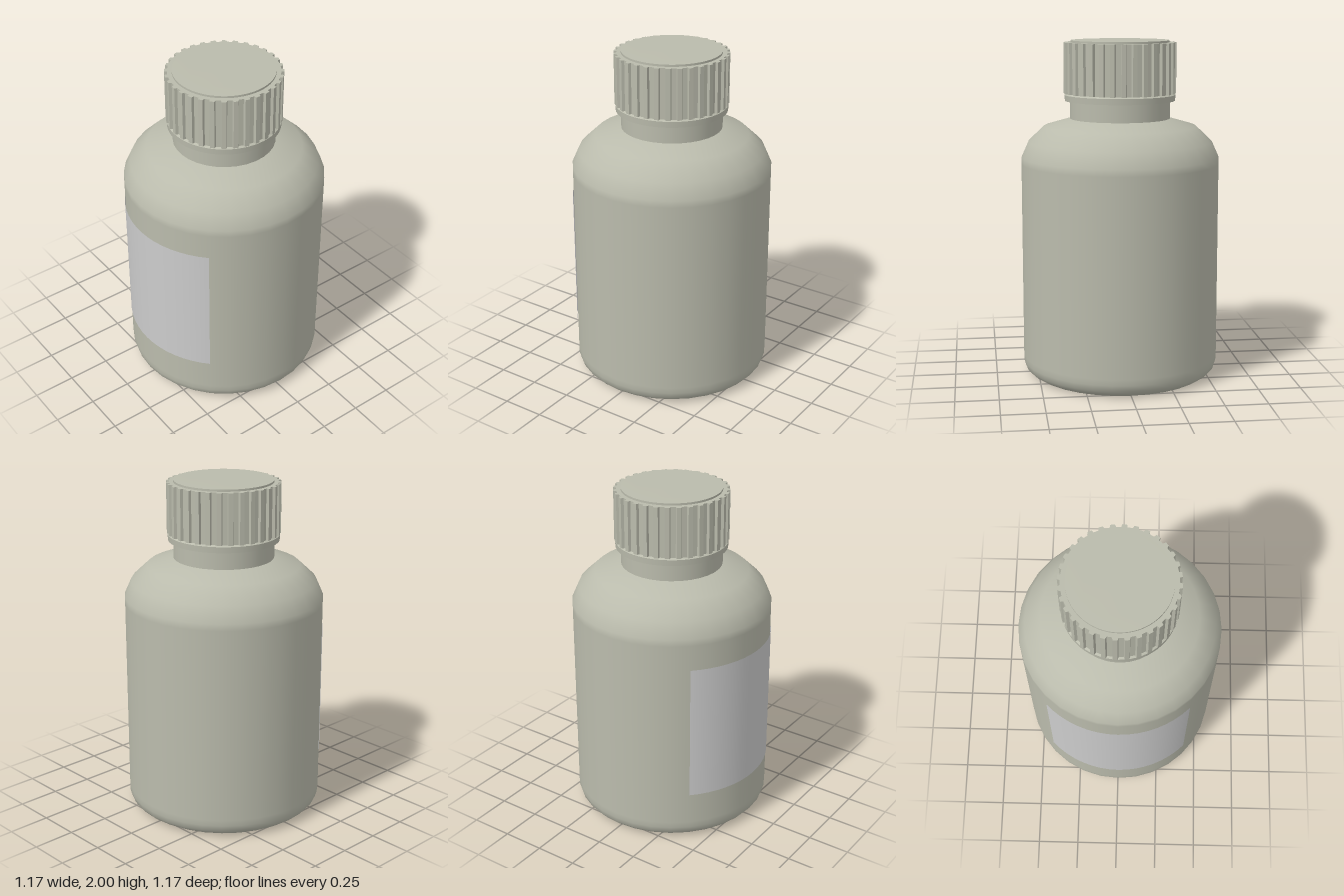
import * as THREE from 'three';

const SIDES = 32;

export function createModel() {
  const model = new THREE.Group();
  const plastic = new THREE.MeshStandardMaterial({ color: 0xbabbac });
  const paper = new THREE.MeshStandardMaterial({ color: 0xcccccc, side: THREE.DoubleSide });

  function add(name, geometry, material, parent = model) {
    const mesh = new THREE.Mesh(geometry, material);
    mesh.name = name;
    parent.add(mesh);
    return mesh;
  }

  // Each profile is smooth within itself; separate profiles meet at a crease.
  function turned(name, profiles, parent, sides = SIDES) {
    const group = new THREE.Group();
    group.name = name;
    parent.add(group);
    for (const profile of profiles) {
      const points = profile.map(([r, y]) => new THREE.Vector2(r, y));
      add(name + 'Surface', new THREE.LatheGeometry(points, sides), plastic, group);
    }
  }

  // Bottle: base, rounded foot, straight wall, shoulder, neck
  turned('bottle', [
    [[0, 0.005], [0.48, 0.005], [0.52, 0.005], [0.555, 0.027], [0.575, 0.05], [0.585, 0.085],
      [0.585, 0.12], [0.585, 1.28], [0.585, 1.32], [0.545, 1.41], [0.45, 1.5], [0.295, 1.545]],
    [[0.295, 1.545], [0.295, 1.66]],
  ], model);

  // Label: quarter wrap on the front
  const label = add('label',
    new THREE.CylinderGeometry(0.588, 0.588, 0.82, 16, 1, true, -Math.PI / 4, Math.PI / 2), paper);
  label.position.y = 0.715;

  // Cap: collar ring, ribbed grip and raised lid
  const cap = new THREE.Group();
  cap.name = 'cap';
  model.add(cap);
  turned('collar', [
    [[0.29, 1.645], [0.325, 1.645]],
    [[0.325, 1.645], [0.327, 1.68]],
    [[0.327, 1.68], [0.312, 1.69]],
  ], cap, 64);

  const outline = [];
  const ribs = 32, inner = 0.315, outer = 0.331;
  for (let i = 0; i < ribs; i++) {
    for (const [t, r] of [[0, inner], [0.45, inner], [0.53, outer], [0.92, outer]]) {
      const a = ((i + t) / ribs) * Math.PI * 2;
      outline.push(new THREE.Vector2(Math.cos(a) * r, Math.sin(a) * r));
    }
  }
  const grip = new THREE.ExtrudeGeometry(new THREE.Shape(outline), { depth: 0.297, bevelEnabled: false });
  grip.rotateX(-Math.PI / 2);
  add('ribbedGrip', grip, plastic, cap).position.y = 1.688;

  turned('lid', [
    [[0.29, 1.98], [0.29, 1.997]],
    [[0.29, 1.997], [0.2, 1.999], [0, 2]],
  ], cap, 64);

  // Rest the base on the ground
  model.children[0].position.y = -0.005;
  return model;
}
